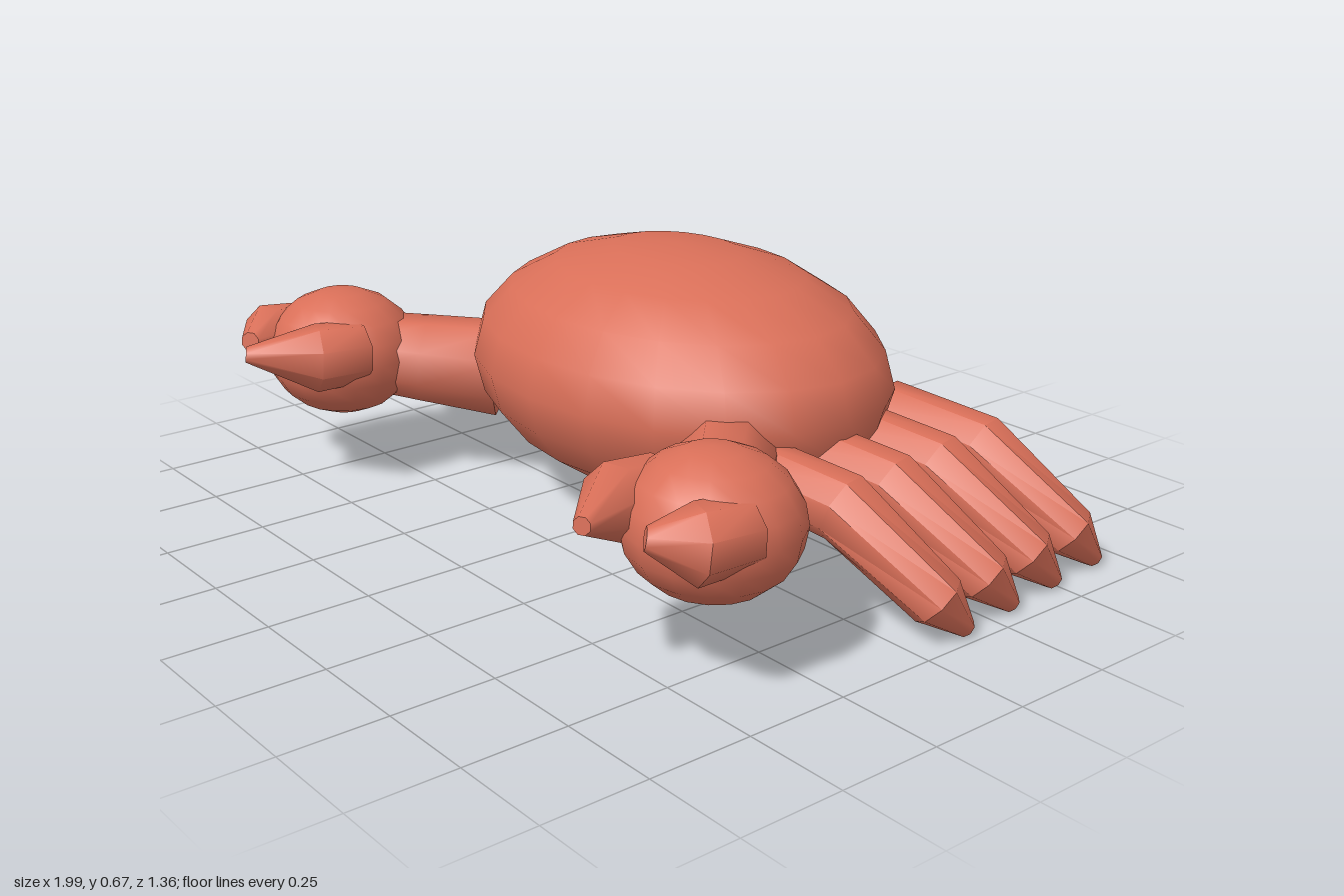
import * as THREE from 'three';
import { toCreasedNormals } from 'three/addons/utils/BufferGeometryUtils.js';

const SIDES = 8;

// Closed limb: rings of the given radii swept along [x, y, z, radius] joints
function limbGeometry(joints) {
  const pts = joints.map(([x, y, z]) => new THREE.Vector3(x, y, z));
  const last = pts.length - 1;
  const pos = [];
  const index = [];
  let u = new THREE.Vector3(0, 1, 0);
  pts.forEach((p, i) => {
    const t = new THREE.Vector3();
    if (i > 0) t.add(p.clone().sub(pts[i - 1]).normalize());
    if (i < last) t.add(pts[i + 1].clone().sub(p).normalize());
    t.normalize();
    u = u.clone().addScaledVector(t, -u.dot(t)).normalize();
    const v = t.clone().cross(u);
    for (let j = 0; j < SIDES; j++) {
      const a = ((j + 0.5) / SIDES) * Math.PI * 2;
      const q = p.clone()
        .addScaledVector(u, Math.cos(a) * joints[i][3])
        .addScaledVector(v, Math.sin(a) * joints[i][3]);
      pos.push(q.x, q.y, q.z);
      if (i < last) {
        const k = i * SIDES + j;
        const n = i * SIDES + ((j + 1) % SIDES);
        index.push(k, n, k + SIDES, n, n + SIDES, k + SIDES);
      }
    }
  });
  // End caps
  const e = last * SIDES;
  for (let j = 1; j < SIDES - 1; j++) {
    index.push(0, j + 1, j, e, e + j, e + j + 1);
  }
  const g = new THREE.BufferGeometry();
  g.setAttribute('position', new THREE.Float32BufferAttribute(pos, 3));
  g.setIndex(index);
  return toCreasedNormals(g, 0.85);
}

export function createModel() {
  const model = new THREE.Group();
  model.name = 'crab';
  const shellRed = new THREE.MeshStandardMaterial({ color: 0xd96f58 });
  shellRed.name = 'shellRed';

  const add = (name, geometry) => {
    const mesh = new THREE.Mesh(geometry, shellRed);
    mesh.name = name;
    model.add(mesh);
    return mesh;
  };
  const ellipsoid = (name, center, radii, w, h) => {
    const mesh = add(name, new THREE.SphereGeometry(1, w, h));
    mesh.position.set(...center);
    mesh.scale.set(...radii);
  };

  // Shell
  ellipsoid('body', [0, 0.375, -0.15], [0.6, 0.303, 0.45], 20, 10);

  for (const [side, s] of [['left', 1], ['right', -1]]) {
    const limb = (name, joints) =>
      add(side + name, limbGeometry(joints.map(([x, y, z, r]) => [x * s, y, z, r])));

    // Front arm and claw
    limb('Arm', [[0.44, 0.29, 0.07, 0.125], [0.58, 0.31, 0.21, 0.113], [0.72, 0.33, 0.35, 0.1]]);
    ellipsoid(side + 'Claw', [0.732 * s, 0.328, 0.37], [0.2, 0.163, 0.193], 16, 10);
    limb('InnerPincer', [[0.60, 0.36, 0.4, 0.08], [0.605, 0.365, 0.52, 0.086], [0.69, 0.382, 0.668, 0.02]]);
    limb('OuterPincer', [[0.86, 0.355, 0.4, 0.075], [0.855, 0.36, 0.52, 0.084], [0.8, 0.375, 0.6, 0.025]]);

    // Four walking legs, rear to front
    for (let i = 0; i < 4; i++) {
      const dx = i * 0.02;
      const dz = i * 0.17;
      limb('Leg' + (i + 1), [
        [0.40 + dx, 0.285, -0.482 + dz, 0.075],
        [0.665 + dx, 0.257, -0.52 + dz, 0.08],
        [0.885 + dx, 0.097, -0.59 + dz, 0.065],
        [0.907 + dx, 0.018, -0.662 + dz, 0.022],
      ]);
    }
  }
  return model;
}
